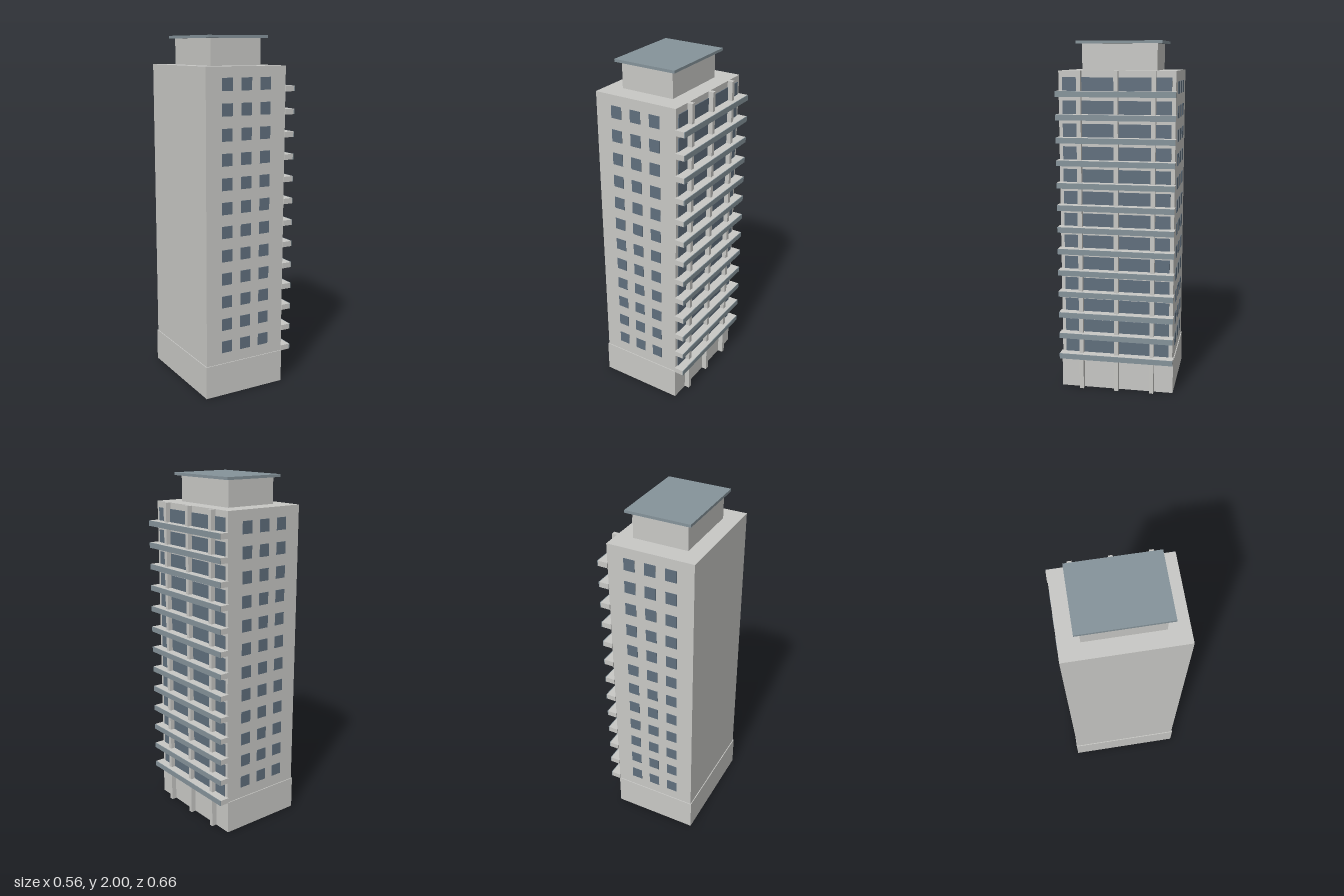
import * as THREE from 'three';

export function createModel() {
  const model = new THREE.Group();
  model.name = 'apartmentTower';

  const material = (name, color) => {
    const m = new THREE.MeshStandardMaterial({ color });
    m.name = name;
    return m;
  };
  const concrete = material('concrete', 0xc8c8c5);
  const slate = material('slateTrim', 0x85939a);
  const glass = material('windowGlass', 0x606f7d);

  // Box given by its minimum and maximum on each axis
  const box = (name, mat, [x0, x1], [y0, y1], [z0, z1], parent = model) => {
    const mesh = new THREE.Mesh(new THREE.BoxGeometry(x1 - x0, y1 - y0, z1 - z0), mat);
    mesh.position.set((x0 + x1) / 2, (y0 + y1) / 2, (z0 + z1) / 2);
    mesh.name = name;
    parent.add(mesh);
  };
  const group = (name) => {
    const g = new THREE.Group();
    g.name = name;
    model.add(g);
    return g;
  };

  // Main masses
  box('base', concrete, [-0.28, 0.22], [0, 0.19], [-0.328, 0.328]);
  box('tower', concrete, [-0.275, 0.22], [0.19, 1.84], [-0.323, 0.323]);
  box('penthouse', concrete, [-0.185, 0.128], [1.84, 1.985], [-0.21, 0.21]);
  box('roofSlab', slate, [-0.211, 0.157], [1.985, 2], [-0.24, 0.24]);

  // Full-height columns on the balcony side
  const columns = group('columns');
  for (const z of [-0.206, 0, 0.206]) {
    box('column', concrete, [0.215, 0.25], [0, 1.84], [z - 0.012, z + 0.012], columns);
  }

  // Balconies with slate fascia, and a glazing band above each
  const balconies = group('balconies');
  const pitch = 0.1259;
  for (let i = 0; i < 13; i++) {
    const y = 0.19 + i * pitch;
    box('balconySlab', concrete, [0.218, 0.273], [y, y + 0.031], [-0.33, 0.33], balconies);
    box('balconyFascia', slate, [0.273, 0.277], [y, y + 0.031], [-0.33, 0.33], balconies);
    box('balconyGlazing', glass, [0.218, 0.224], [y + 0.031, y + 0.104], [-0.302, 0.302], balconies);
  }

  // Windows on the front and back walls
  const windows = group('windows');
  for (const side of [-1, 1]) {
    for (let row = 0; row < 12; row++) {
      const y = 0.289 + row * 0.1326;
      for (const x of [-0.147, -0.028, 0.091]) {
        box('window', glass, [x - 0.032, x + 0.032], [y - 0.034, y + 0.034],
          [side * 0.3235 - 0.0025, side * 0.3235 + 0.0025], windows);
      }
    }
  }

  return model;
}
